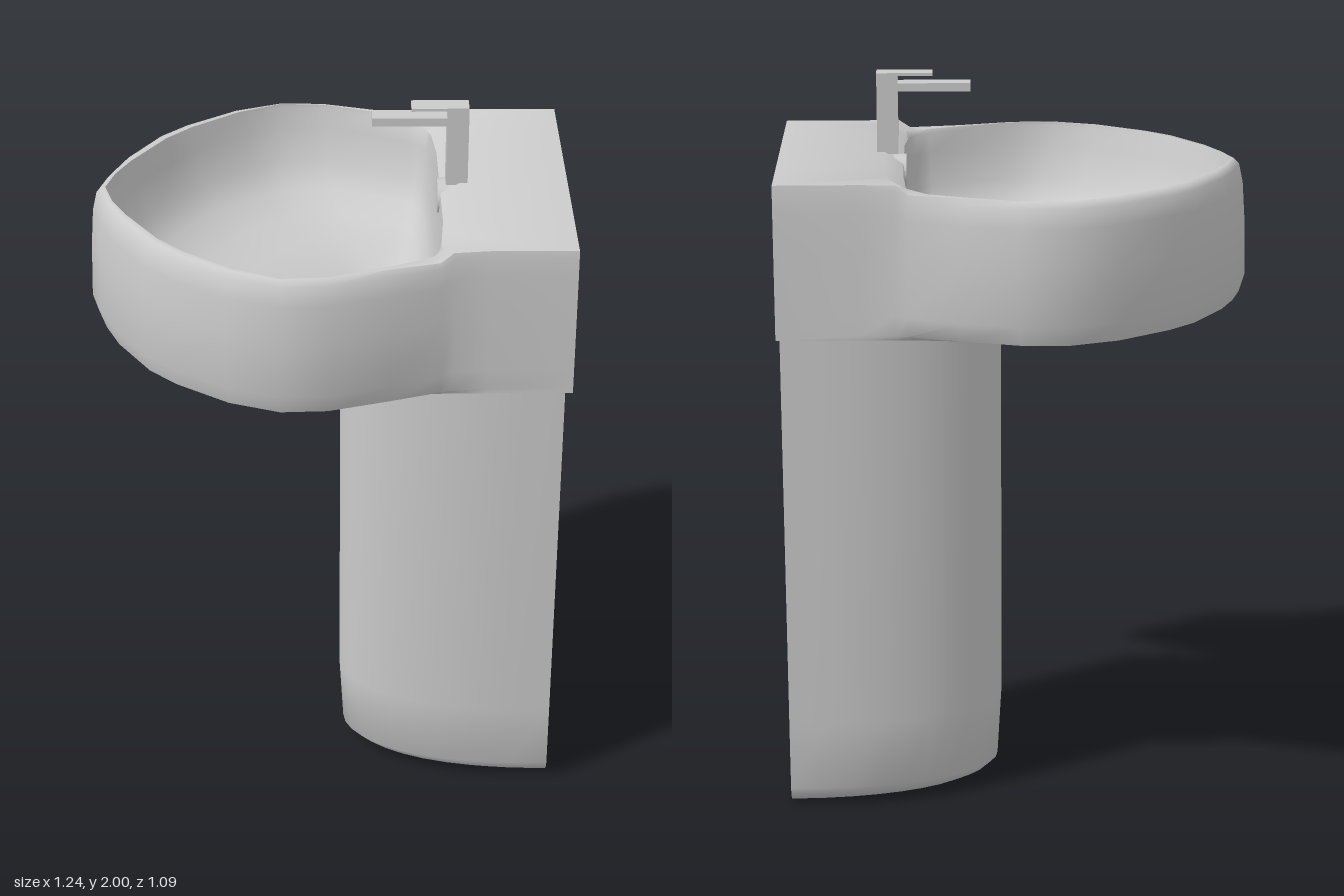
import * as THREE from 'three';
import { toCreasedNormals } from 'three/addons/utils/BufferGeometryUtils.js';

const material = new THREE.MeshStandardMaterial({ color: 0xcccccc, side: THREE.DoubleSide });
const { lerp, smoothstep } = THREE.MathUtils;

// Skin a list of rings (each an array of [x, y, z]); skip(i, j) leaves a quad open
function loft(rings, closed, skip = () => false) {
  const n = rings[0].length;
  const index = [];
  for (let j = 0; j < rings.length - 1; j++) {
    for (let i = 0; i < (closed ? n : n - 1); i++) {
      if (skip(i, j)) continue;
      const k = (i + 1) % n;
      const a = j * n + i, b = j * n + k, c = a + n, d = b + n;
      index.push(a, b, d, a, d, c);
    }
  }
  const geometry = new THREE.BufferGeometry();
  geometry.setAttribute('position', new THREE.Float32BufferAttribute(rings.flat(2), 3));
  geometry.setIndex(index);
  return toCreasedNormals(geometry, 0.85);
}

function add(group, name, geometry, x = 0, y = 0, z = 0) {
  const mesh = new THREE.Mesh(geometry, material);
  mesh.name = name;
  mesh.position.set(x, y, z);
  group.add(mesh);
  return mesh;
}

// Complete a half outline (z >= 0, both ends on z = 0) into a closed loop
const mirror = half => [...half, ...half.slice(1, -1).reverse().map(([x, z]) => [x, -z])];

// Matching plan outlines [x, z]: outer shell, bowl rim, opening in the underside
const outer = mirror([[-0.62, 0], [-0.594, 0.094], [-0.556, 0.187], [-0.468, 0.328], [-0.395, 0.4],
  [-0.255, 0.497], [-0.122, 0.545], [0, 0.54], [0.152, 0.493], [0.285, 0.44], [0.315, 0.431],
  [0.4, 0.421], [0.62, 0.42], [0.62, 0.25], [0.62, 0.12], [0.62, 0]]);
const inner = mirror([[-0.573, 0], [-0.551, 0.077], [-0.513, 0.152], [-0.425, 0.288], [-0.362, 0.355],
  [-0.235, 0.452], [-0.122, 0.505], [0, 0.497], [0.13, 0.45], [0.225, 0.405], [0.255, 0.385],
  [0.272, 0.355], [0.283, 0.32], [0.292, 0.2], [0.292, 0.09], [0.292, 0]]);
const opening = mirror([[0.04, 0], [0.046, 0.045], [0.06, 0.08], [0.08, 0.115], [0.1, 0.14],
  [0.12, 0.165], [0.15, 0.19], [0.18, 0.21], [0.27, 0.228], [0.37, 0.25], [0.43, 0.28],
  [0.52, 0.34], [0.62, 0.415], [0.62, 0.25], [0.62, 0.12], [0.62, 0]]);

const BASE = 1.388;
const DRAIN_X = 0.135;
const topAt = x => 1.765 + 0.025 * smoothstep(x, 0.28, 0.312);

function basinGeometry() {
  const rings = [opening.map(([x, z]) => [x, BASE + 0.005, z])];

  // outer wall: [inset, height]; the inset fades out toward the open back
  const wall = [[0.07, 1.388], [0.015, 1.4], [0, 1.45], [0.004, 1.6], [0.011, 1.7], [0.022, 1.75], [0.036, 1.765]];
  for (const [inset, y] of wall) {
    rings.push(outer.map(([x, z]) => {
      const s = inset / Math.hypot(x + 0.1, z);
      const fade = 1 - smoothstep(x, 0.1, 0.4);
      const keep = y > 1.5 ? Math.max(fade, 0.35) : fade;
      const rise = (topAt(x) - BASE) / (1.765 - BASE);
      return [x - (x + 0.1) * s * fade, BASE + (y - BASE) * rise, z * (1 - s * keep)];
    }));
  }
  const wallRings = rings.length - 1;

  // rim and tap deck
  const edge = rings[wallRings];
  rings.push(inner.map(([x, z], i) => {
    const px = lerp(edge[i][0], x, 0.85);
    return [px, topAt(px), lerp(edge[i][2], z, 0.85)];
  }));
  rings.push(inner.map(([x, z]) => [x, topAt(x) - 0.01, z]));

  // bowl: [pull toward the drain, height]
  for (const [t, y] of [[0.025, 1.7], [0.07, 1.61], [0.16, 1.548], [0.32, 1.512], [0.5, 1.49]]) {
    rings.push(inner.map(([x, z]) => [lerp(x, DRAIN_X, t), y, z * (1 - t)]));
  }

  // drain recess: [radius, height]; angles spread between plan direction and even spacing
  const n = outer.length;
  for (const [r, y] of [[0.075, 1.47], [0.065, 1.466], [0.058, 1.448], [0, 1.443]]) {
    rings.push(inner.map(([x, z], i) => {
      const even = Math.PI * (1 - 2 * i / n);
      const a = (Math.atan2(z, x - DRAIN_X) + even) / 2;
      return [DRAIN_X + r * Math.cos(a), y, r * Math.sin(a)];
    }));
  }

  // the shell has no back panel
  const atBack = i => outer[i % n][0] > 0.61;
  return loft(rings, true, (i, j) => j < wallRings && atBack(i) && atBack(i + 1));
}

function pedestalGeometry() {
  // half-elliptical section, open at the back
  const section = (front, w, y) => {
    const depth = Math.min(0.48, 0.6 - front);
    const ring = [[0.62, y, -w]];
    for (let k = 0; k <= 20; k++) {
      const a = (k / 20 - 0.5) * Math.PI;
      ring.push([front + depth * (1 - Math.cos(a)), y, w * Math.sin(a)]);
    }
    return [...ring, [0.62, y, w]];
  };
  // [front x, half width, height]
  const levels = [[0.14, 0, 0.004], [0.12, 0.2, 0.014], [0.075, 0.222, 0.035], [0.047, 0.233, 0.06],
    [0.036, 0.236, 0.25], [0.035, 0.237, 1.41]];
  return loft(levels.map(l => section(...l)), false);
}

export function createModel() {
  const group = new THREE.Group();
  group.name = 'pedestalWashbasin';

  add(group, 'basin', basinGeometry());
  add(group, 'pedestal', pedestalGeometry());

  // overflow in the back wall of the bowl
  const overflow = add(group, 'overflow', new THREE.CylinderGeometry(0.054, 0.054, 0.034, 20), 0.302, 1.738, 0);
  overflow.rotation.z = Math.PI / 2;
  overflow.scale.x = 0.8;

  // tap
  const tap = new THREE.Group();
  tap.name = 'tap';
  tap.position.z = 0.01;
  add(tap, 'tapPost', new THREE.BoxGeometry(0.056, 0.215, 0.052), 0.334, 1.8925, 0);
  add(tap, 'tapSpout', new THREE.BoxGeometry(0.195, 0.022, 0.052), 0.212, 1.962, 0);
  add(tap, 'tapLever', new THREE.BoxGeometry(0.095, 0.008, 0.052), 0.262, 1.996, 0);
  group.add(tap);

  return group;
}
